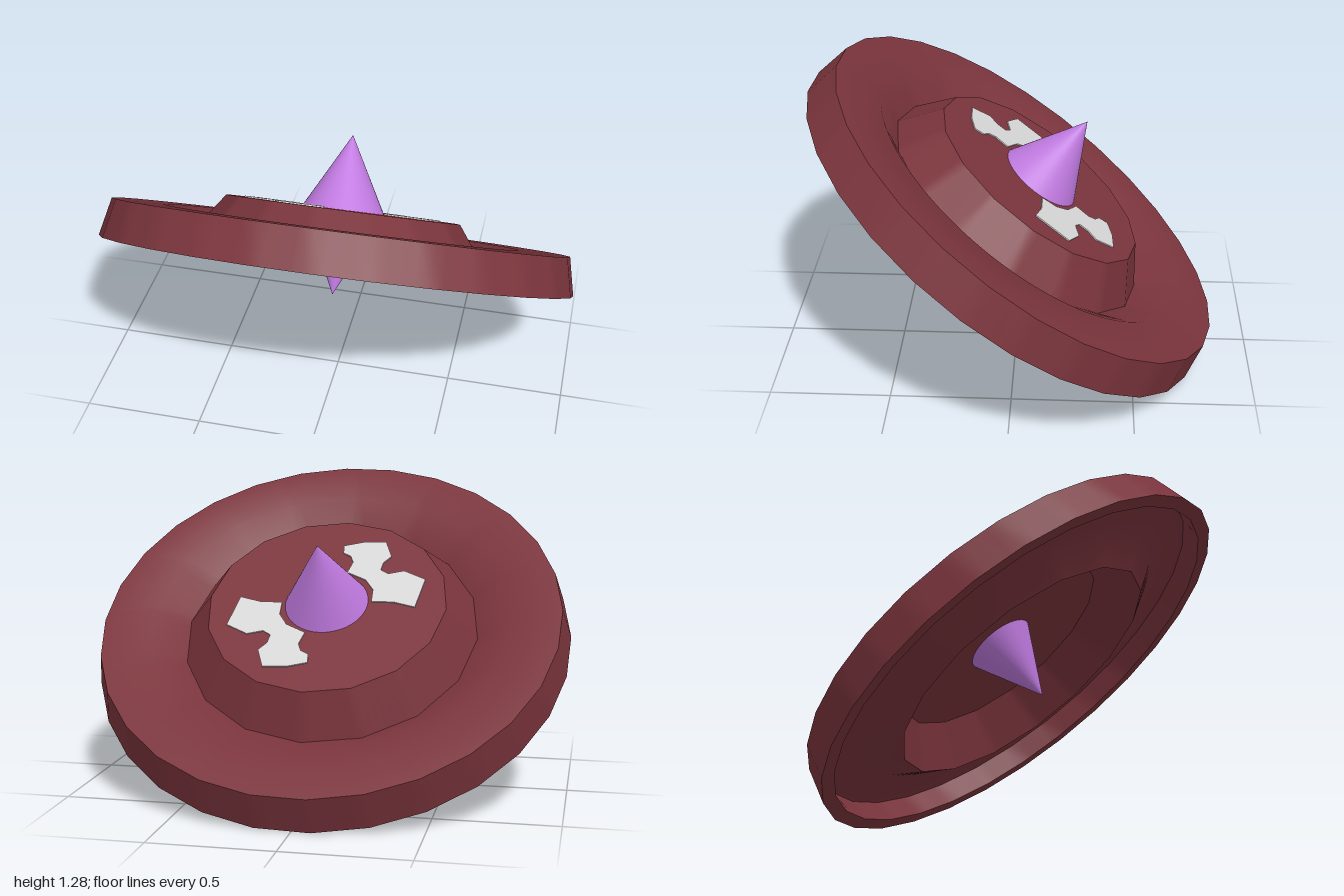
import * as THREE from 'three';
import { toCreasedNormals } from 'three/addons/utils/BufferGeometryUtils.js';

const SEG = 112; // common multiple of the 16-sided and 28-sided rings
const STEP = (Math.PI * 2) / SEG;
const START = -0.037;

// Radius of a regular polygon with n sides at step k
function polygonRadius(r, n, k) {
  const per = SEG / n;
  const shift = n === 28 ? 2 : 0;
  const local = ((k - shift + SEG) % per) * STEP;
  return r * Math.cos(Math.PI / n) / Math.cos(local - Math.PI / n);
}

// Closed disc skin from rings of [radius, height, sides]
function ringSkin(rings) {
  const pos = [], index = [];
  rings.forEach(([r, h, n]) => {
    for (let k = 0; k < SEG; k++) {
      const a = START + k * STEP;
      const q = n === SEG ? r : polygonRadius(r, n, k);
      pos.push(q * Math.sin(a), h, q * Math.cos(a));
    }
  });
  for (let i = 0; i < rings.length - 1; i++) {
    for (let k = 0; k < SEG; k++) {
      const k2 = (k + 1) % SEG;
      const a = i * SEG + k, b = a + SEG, c = (i + 1) * SEG + k2, d = i * SEG + k2;
      if (rings[i + 1][0] > 0) index.push(a, b, c);
      else index.push(a, b, d);
      if (rings[i][0] > 0 && rings[i + 1][0] > 0) index.push(a, c, d);
    }
  }
  const g = new THREE.BufferGeometry();
  g.setAttribute('position', new THREE.Float32BufferAttribute(pos, 3));
  g.setIndex(index);
  return toCreasedNormals(g, 0.7);
}

export function createModel() {
  const red = new THREE.MeshStandardMaterial({ color: 0x7a343c });
  red.name = 'darkRed';
  const purple = new THREE.MeshStandardMaterial({ color: 0xc07ae0 });
  purple.name = 'purple';
  const grey = new THREE.MeshStandardMaterial({ color: 0xd6d6d6 });
  grey.name = 'lightGrey';

  const model = new THREE.Group();
  model.name = 'spinningTop';
  const top = new THREE.Group();
  top.name = 'tiltedTop';
  top.position.set(0, 0.59, 0.035);
  top.rotation.x = THREE.MathUtils.degToRad(-36.1);
  model.add(top);

  const add = (geometry, material, name) => {
    const mesh = new THREE.Mesh(geometry, material);
    mesh.name = name;
    top.add(mesh);
    return mesh;
  };

  // Disc: raised middle, groove, thick rim and hollow underside
  add(ringSkin([
    [0, 0.233, 16], [0.5, 0.233, 16], [0.62, 0.07, 16], [0.75, 0.16, SEG],
    [0.966, 0.16, 28], [1, 0, 28], [0.94, 0, 28], [0.94, 0.1, 28],
    [0.75, 0.09, SEG], [0.62, -0.005, 16], [0.5, 0.17, 16], [0, 0.17, 16],
  ]), red, 'disc');

  // Upper spike and lower tip
  const spike = new THREE.ConeGeometry(0.173, 0.317, 40);
  spike.translate(0, 0.233 + 0.317 / 2, 0);
  add(spike, purple, 'upperSpike');
  const tip = new THREE.ConeGeometry(0.147, 0.3, 40);
  tip.rotateX(Math.PI);
  tip.translate(0, 0.02, 0);
  add(tip, purple, 'lowerTip');

  // Two-lobed painted marks on opposite sides of the spike
  const outline = [
    [0.02, -0.345], [0.1, -0.37], [0.2, -0.375], [0.235, -0.285], [0.205, -0.245],
    [0.2, -0.2], [0.235, -0.178], [0.3, -0.198], [0.395, -0.15], [0.37, 0.015],
    [0.28, -0.01], [0.187, -0.01], [0.184, -0.08], [0.145, -0.137], [0.06, -0.18],
    [0.075, -0.243], [0.06, -0.28], [0.025, -0.3],
  ];
  const shape = new THREE.Shape(outline.map(([x, z]) => new THREE.Vector2(x, -z)));
  const mark = new THREE.ExtrudeGeometry(shape, { depth: 0.006, bevelEnabled: false });
  mark.rotateX(-Math.PI / 2);
  mark.translate(0, 0.232, 0);
  for (let i = 0; i < 2; i++) {
    add(mark, grey, i ? 'rightMark' : 'leftMark').rotation.y = i * Math.PI;
  }
  return model;
}
